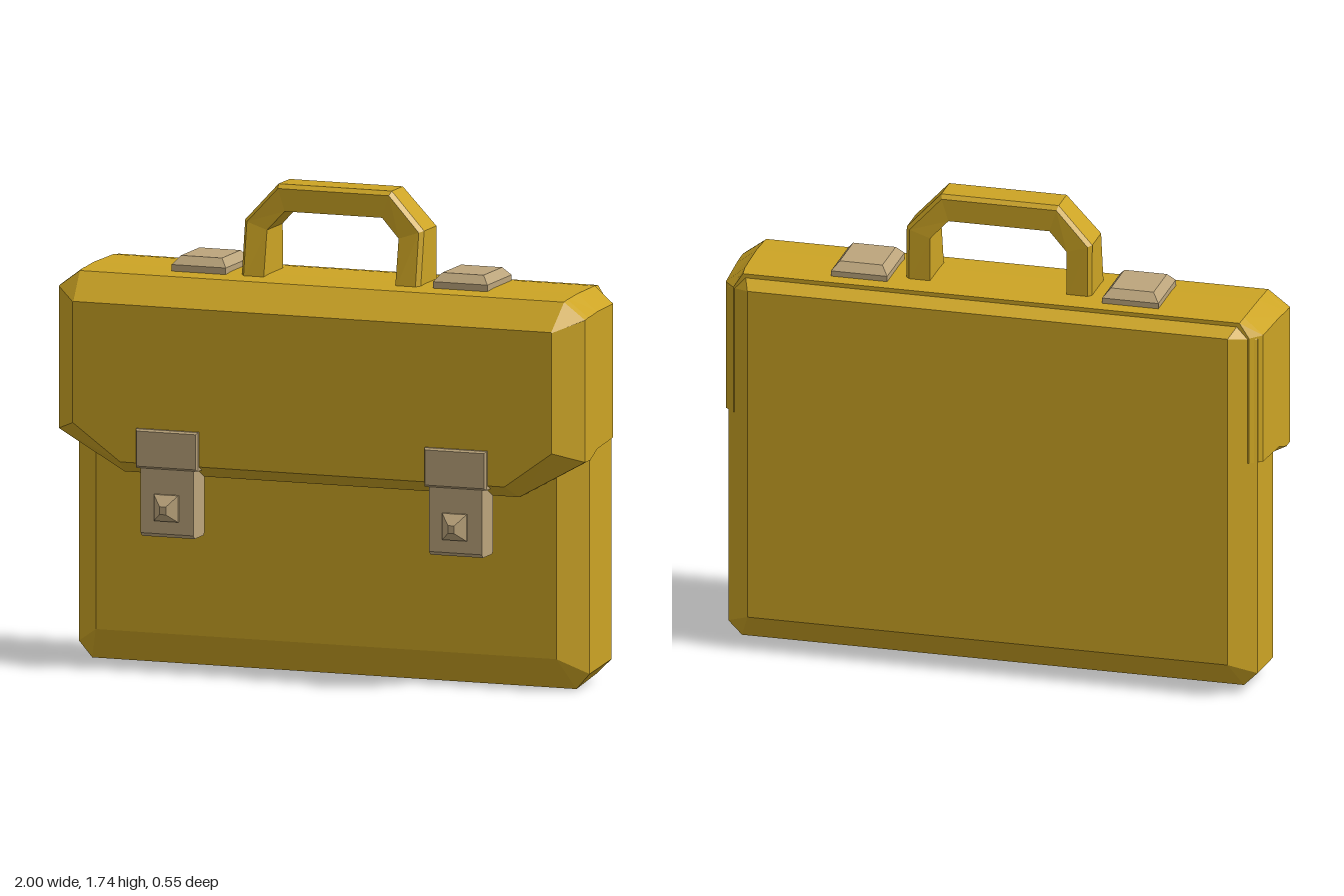
import * as THREE from 'three';

// Skin a list of equal-sized rings (counter-clockwise seen from the end) and cap both ends
function loft(rings) {
  const pos = [];
  const tri = (a, b, c) => pos.push(...a, ...b, ...c);
  const n = rings[0].length;
  for (let r = 0; r < rings.length - 1; r++) {
    const a = rings[r], b = rings[r + 1];
    for (let i = 0; i < n; i++) {
      const j = (i + 1) % n;
      tri(a[i], a[j], b[j]);
      tri(a[i], b[j], b[i]);
    }
  }
  const first = rings[0], last = rings[rings.length - 1];
  for (let i = 1; i < n - 1; i++) {
    tri(first[0], first[i + 1], first[i]);
    tri(last[0], last[i], last[i + 1]);
  }
  const geo = new THREE.BufferGeometry();
  geo.setAttribute('position', new THREE.Float32BufferAttribute(pos, 3));
  geo.computeVertexNormals();
  return geo;
}

// Mirrored eight-corner outline: bottom corner, lower side, upper side, top corner
function outline(z, xBottom, yBottom, xSide, yLow, yHigh, xTop, yTop) {
  const half = [[xBottom, yBottom], [xSide, yLow], [xSide, yHigh], [xTop, yTop]];
  return [
    ...half.map(([x, y]) => [x, y, z]),
    ...half.reverse().map(([x, y]) => [-x, y, z]),
  ];
}

// Rectangle in the plane at depth z
const rect = (z, x, y0, y1) => [[x, y0, z], [x, y1, z], [-x, y1, z], [-x, y0, z]];

export function createModel() {
  const leather = new THREE.MeshStandardMaterial({ color: 0xcca424, flatShading: true });
  leather.name = 'mustard leather';
  const metal = new THREE.MeshStandardMaterial({ color: 0xbca57c, flatShading: true });
  metal.name = 'tan metal';

  const model = new THREE.Group();
  model.name = 'briefcase';
  const add = (name, geo, mat, parent = model) => {
    const mesh = new THREE.Mesh(geo, mat);
    mesh.name = name;
    parent.add(mesh);
    return mesh;
  };

  // Case with chamfered edges
  add('caseBody', loft([
    outline(-0.275, 0.88, 0.13, 0.88, 0.13, 1.37, 0.88, 1.37),
    outline(-0.2, 0.92, 0.03, 0.97, 0.08, 1.35, 0.91, 1.415),
    outline(0.01, 0.92, 0.003, 0.97, 0.06, 1.35, 0.91, 1.41),
    outline(0.09, 0.875, 0.12, 0.875, 0.12, 1.3, 0.875, 1.3),
  ]), leather);

  // Flap wrapping the top, sides and upper front
  add('flap', loft([
    outline(-0.225, 0.75, 0.885, 0.945, 0.885, 1.36, 0.91, 1.415),
    outline(-0.18, 0.75, 0.88, 0.985, 0.88, 1.36, 0.915, 1.42),
    outline(0.0, 0.75, 0.868, 0.995, 0.868, 1.36, 0.92, 1.42),
    outline(0.08, 0.75, 0.83, 1.0, 0.84, 1.355, 0.92, 1.415),
    outline(0.1, 0.75, 0.7, 1.0, 0.84, 1.355, 0.92, 1.415),
    outline(0.13, 0.75, 0.7, 1.0, 0.84, 1.35, 0.92, 1.41),
    outline(0.225, 0.73, 0.75, 0.91, 0.88, 1.313, 0.908, 1.315),
  ]), leather);

  // Carrying handle: outer point, inner point, front depth, back depth
  const leftHandle = [
    [[-0.34, 1.4], [-0.25, 1.4], 0.06, -0.13],
    [[-0.34, 1.61], [-0.25, 1.58], 0.025, -0.127],
    [[-0.215, 1.745], [-0.185, 1.65], 0.02, -0.12],
  ];
  const rightHandle = leftHandle.map(([o, i, f, b]) => [[-o[0], o[1]], [-i[0], i[1]], f, b]).reverse();
  const handleRings = [...leftHandle, ...rightHandle].map(([o, i, f, b]) => {
    const mx = o[0] + (i[0] - o[0]) * 0.15, my = o[1] + (i[1] - o[1]) * 0.15;
    return [
      [o[0], o[1], f - 0.018], [mx, my, f], [i[0], i[1], f],
      [i[0], i[1], b], [mx, my, b], [o[0], o[1], b + 0.015],
    ];
  });
  add('handle', loft(handleRings), leather);

  for (const side of [-1, 1]) {
    const label = side > 0 ? 'left' : 'right';

    // Bevelled plate on top of the case
    const plate = add(label + 'TopPlate', loft([
      rect(-0.02, 0.103, -0.118, 0.118),
      rect(0.02, 0.103, -0.118, 0.118),
      rect(0.05, 0.078, -0.09, 0.09),
    ]), metal);
    plate.rotation.x = -Math.PI / 2;
    plate.position.set(side * 0.497, 1.42, -0.06);

    // Front clasp: upper plate, lower latch and faceted stud
    const clasp = new THREE.Group();
    clasp.name = label + 'Clasp';
    clasp.position.x = side * 0.548;
    model.add(clasp);
    add('claspPlate', loft([
      rect(0.19, 0.118, 0.735, 0.875),
      rect(0.235, 0.118, 0.735, 0.875),
      rect(0.243, 0.112, 0.742, 0.868),
    ]), metal, clasp);
    add('claspLatch', loft([
      rect(0.125, 0.1, 0.5, 0.75),
      rect(0.135, 0.1, 0.49, 0.75),
      rect(0.222, 0.1, 0.49, 0.75),
      rect(0.234, 0.1, 0.503, 0.75),
    ]), metal, clasp);
    add('claspStud', loft([
      rect(0.23, 0.046, 0.55, 0.645),
      rect(0.245, 0.046, 0.55, 0.645),
      rect(0.277, 0.012, 0.58, 0.608),
    ]), metal, clasp);
  }
  return model;
}
